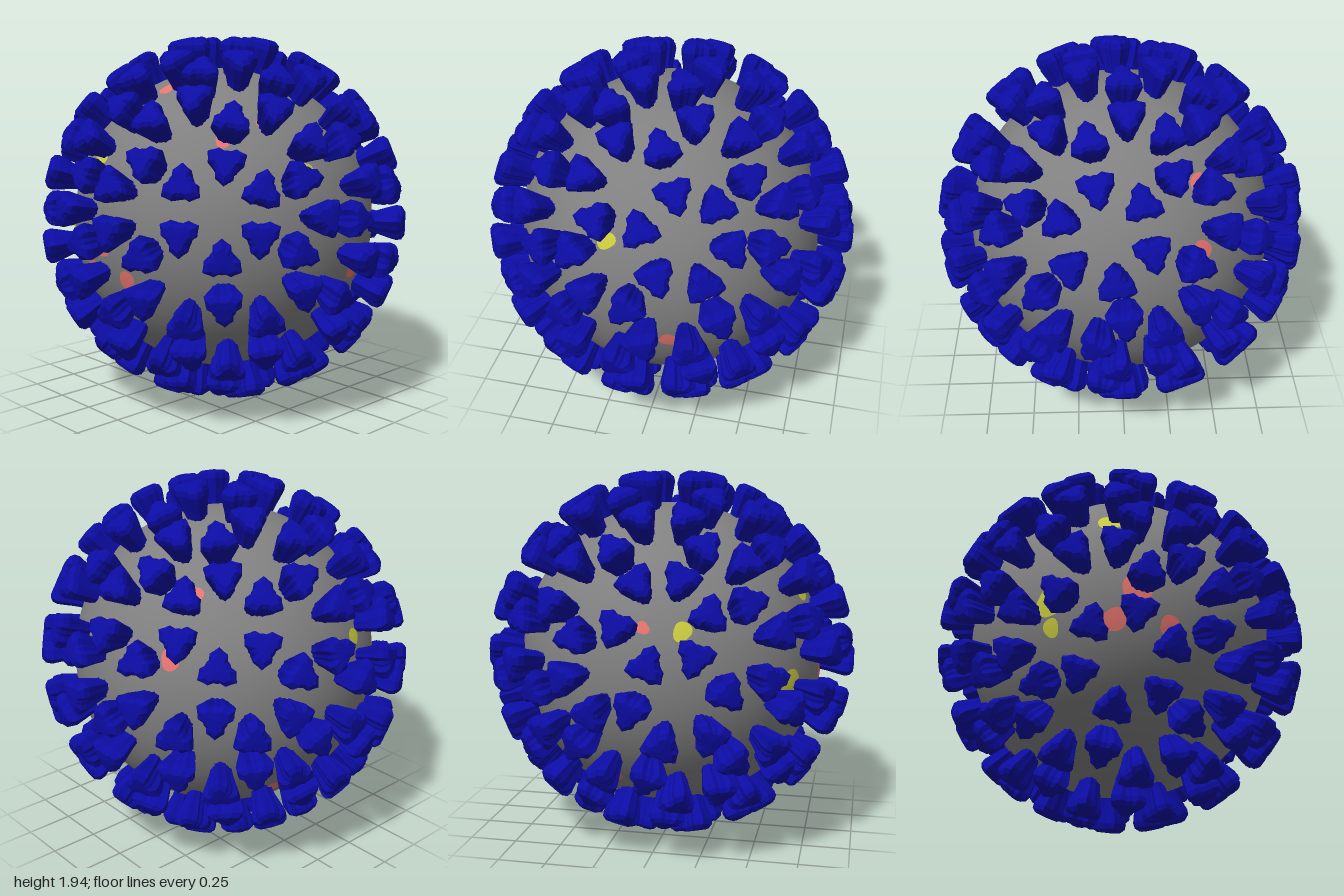
import * as THREE from 'three';

const RADIUS = 0.805;
const paint = (name, color, extra = {}) => {
  const m = new THREE.MeshStandardMaterial({ color, ...extra });
  m.name = name;
  return m;
};

// Three-lobed knob, narrow at the root and wide near its rounded tip, along +y
function spikeGeometry() {
  const sides = 24;
  // distance from the body centre, mean radius, depth of the three lobes
  const rings = [
    [0.785, 0.047, 0.12], [0.84, 0.057, 0.2], [0.89, 0.07, 0.24],
    [0.935, 0.081, 0.25], [0.962, 0.077, 0.25], [0.98, 0.055, 0.25],
  ];
  const pos = [], index = [];
  rings.forEach(([y, r, lobe], k) => {
    for (let i = 0; i < sides; i++) {
      const a = (i / sides) * Math.PI * 2;
      const ridge = 1 + (i % 2 ? -0.07 : 0.04);
      const rad = r * (1 + lobe * Math.cos(3 * a)) * ridge;
      pos.push(rad * Math.sin(a), y, rad * Math.cos(a));
      if (k) {
        const j = (i + 1) % sides, lo = (k - 1) * sides, hi = k * sides;
        index.push(lo + i, lo + j, hi + j, lo + i, hi + j, hi + i);
      }
    }
  });
  const top = (rings.length - 1) * sides;
  pos.push(0, 0.984, 0);
  for (let i = 0; i < sides; i++) index.push(top + i, top + ((i + 1) % sides), top + sides);
  const g = new THREE.BufferGeometry();
  g.setAttribute('position', new THREE.Float32BufferAttribute(pos, 3));
  g.setIndex(index);
  g.computeVertexNormals();
  return g;
}

// Thin irregular cap lying on the body, facing +y
function patchGeometry(size, seed) {
  const g = new THREE.SphereGeometry(RADIUS + 0.004, 20, 3, 0, Math.PI * 2, 0, size);
  const p = g.attributes.position, v = new THREE.Vector3();
  for (let i = 0; i < p.count; i++) {
    v.fromBufferAttribute(p, i);
    const a = Math.atan2(v.z, v.x);
    const wobble = 1 + 0.1 * Math.sin(2 * a + seed) + 0.07 * Math.sin(3 * a + seed * 2.3);
    v.x *= wobble;
    v.z *= wobble;
    v.setLength(RADIUS + 0.004);
    p.setXYZ(i, v.x, v.y, v.z);
  }
  g.computeVertexNormals();
  return g;
}

export function createModel() {
  const grey = paint('body grey', 0x808080);
  const blue = paint('spike blue', 0x0c0ca4, { flatShading: true });
  const salmon = paint('patch salmon', 0xee7870);
  const yellow = paint('patch yellow', 0xcccc40);

  const model = new THREE.Group();
  model.name = 'virusParticle';
  const particle = new THREE.Group();
  particle.name = 'particle';
  particle.position.y = 0.98;
  model.add(particle);

  // Round body
  const body = new THREE.Mesh(new THREE.SphereGeometry(RADIUS, 64, 40), grey);
  body.name = 'body';
  particle.add(body);

  // One spike on each face of a tilted, subdivided icosahedron
  const turn = THREE.MathUtils.degToRad(56), tilt = THREE.MathUtils.degToRad(11);
  const Y = new THREE.Vector3(Math.cos(tilt) * Math.cos(turn), Math.sin(tilt), Math.cos(tilt) * Math.sin(turn));
  const Z = new THREE.Vector3(-Math.sin(tilt) * Math.cos(turn), Math.cos(tilt), -Math.sin(tilt) * Math.sin(turn));
  const X = Y.clone().cross(Z);
  const lattice = new THREE.IcosahedronGeometry(1, 2);
  lattice.applyMatrix4(new THREE.Matrix4().makeBasis(X, Y, Z));
  const corners = lattice.attributes.position;
  const spikeShape = spikeGeometry();
  const spikes = new THREE.Group();
  spikes.name = 'spikes';
  for (let i = 0; i < corners.count; i += 3) {
    const [a, b, c] = [0, 1, 2].map((k) => new THREE.Vector3().fromBufferAttribute(corners, i + k));
    const out = a.clone().add(b).add(c).normalize();
    const side = out.clone().cross(a).normalize(); // lobes point at the face corners
    const spike = new THREE.Mesh(spikeShape, blue);
    spike.name = 'spike';
    spike.quaternion.setFromRotationMatrix(
      new THREE.Matrix4().makeBasis(side, out, side.clone().cross(out)));
    spikes.add(spike);
  }
  particle.add(spikes);

  // Surface patches: direction x, y, z and angular size
  const addPatches = (name, material, list) => list.forEach(([x, y, z, size], i) => {
    const patch = new THREE.Mesh(patchGeometry(size, i * 1.7 + 0.4), material);
    patch.name = name;
    patch.quaternion.setFromUnitVectors(
      new THREE.Vector3(0, 1, 0), new THREE.Vector3(x, y, z).normalize());
    particle.add(patch);
  });
  addPatches('salmonPatch', salmon, [
    [-0.05, -0.06, 1, 0.085], [-0.18, -0.25, 0.95, 0.075], [0.15, -0.26, 0.95, 0.06],
    [0, 0.87, 0.49, 0.055], [0.58, 0.58, 0.56, 0.045], [0.66, 0.68, 0.32, 0.03],
    [0.945, -0.25, -0.205, 0.058], [0.68, -0.65, -0.34, 0.05], [0.58, -0.42, -0.695, 0.045],
    [0.39, -0.6, -0.695, 0.048], [-0.44, 0.64, -0.63, 0.06], [-0.46, 0.3, -0.83, 0.06],
    [-0.73, -0.65, -0.22, 0.06], [-0.95, 0.32, 0.02, 0.04],
  ]);
  addPatches('yellowPatch', yellow, [
    [-0.19, 0.46, 0.865, 0.075], [-0.53, -0.09, 0.84, 0.105], [-0.53, -0.26, 0.81, 0.055],
    [0.895, 0.4, 0.185, 0.058], [-0.92, 0.3, 0.25, 0.058],
  ]);
  return model;
}
